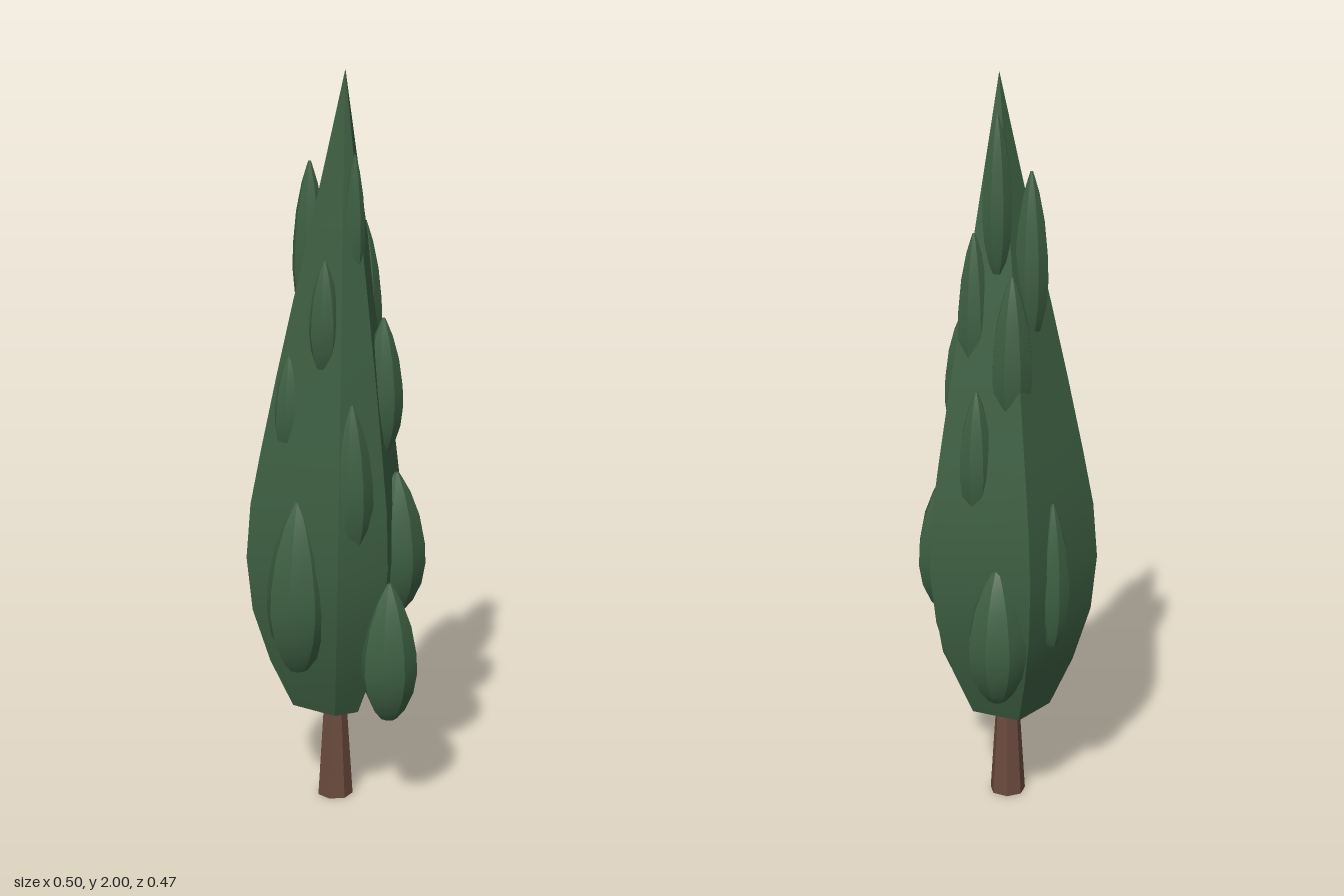
import * as THREE from 'three';

// Lofts a cross-section along y. Each side is its own strip, so the upright
// edges stay sharp while the shading runs smoothly from bottom to top.
// section: [x, z] corners by rising angle; rows: [y, scale, shiftX]
function loft(section, rows) {
  const pos = [], index = [];
  const n = section.length;
  const point = ([x, z], [y, s, dx = 0]) => pos.push(x * s + dx, y, z * s);
  for (let i = 0; i < n; i++) {
    const a = section[i], b = section[(i + 1) % n];
    const start = pos.length / 3;
    rows.forEach((row, j) => {
      point(a, row);
      point(b, row);
      if (j === 0) return;
      const k = start + 2 * j;
      index.push(k - 1, k - 2, k, k - 1, k, k + 1);
    });
    // end caps
    const c = pos.length / 3;
    const first = rows[0], last = rows[rows.length - 1];
    point([0, 0], first); point(a, first); point(b, first);
    point([0, 0], last); point(b, last); point(a, last);
    index.push(c, c + 1, c + 2, c + 3, c + 4, c + 5);
  }
  const geo = new THREE.BufferGeometry();
  geo.setAttribute('position', new THREE.Float32BufferAttribute(pos, 3));
  geo.setIndex(index);
  geo.computeVertexNormals();
  return geo;
}

const polygon = (n, turn = 0) => Array.from({ length: n }, (_, i) => {
  const a = turn + (i / n) * Math.PI * 2;
  return [Math.cos(a), Math.sin(a)];
});

export function createModel() {
  const tree = new THREE.Group();
  tree.name = 'cypressTree';

  const foliage = new THREE.MeshStandardMaterial({ color: 0x3d5f42 });
  foliage.name = 'dark green foliage';
  const bark = new THREE.MeshStandardMaterial({ color: 0x6a4a3d });
  bark.name = 'brown bark';

  const add = (name, geo, mat) => {
    const mesh = new THREE.Mesh(geo, mat);
    mesh.name = name;
    tree.add(mesh);
    return mesh;
  };

  // Trunk
  add('trunk', loft(polygon(7, 0.2), [[0, 0.049], [0.3, 0.03]]), bark).position.x = -0.02;

  // Crown: uneven five-sided spindle leaning slightly towards its tip
  const crownSection = [[0.192, 0], [0.143, 0.137], [-0.147, 0.197], [-0.238, -0.085], [0.012, -0.235]];
  const crownRows = [
    [0.265, 0.47], [0.4, 0.73], [0.55, 0.93], [0.7, 1], [0.85, 0.96], [1, 0.85],
    [1.2, 0.69], [1.4, 0.52], [1.6, 0.34], [1.8, 0.17], [2, 0.002],
  ].map(([y, s]) => [y, s, -0.02 + 0.04 * (y - 0.265) / 1.735]);
  add('crown', loft(crownSection, crownRows), foliage);

  // Tufts: slim pointed lobes half sunk in the crown, [x, z, bottom, top, radius]
  const tuftRows = [
    [0, 0.3], [0.07, 0.58], [0.2, 0.87], [0.35, 1], [0.5, 0.97],
    [0.7, 0.78], [0.87, 0.46], [0.96, 0.2], [1, 0.08],
  ];
  const tuftGeo = loft(polygon(8, 0.2), tuftRows);
  const tufts = [
    [0.18, -0.008, 0.28, 0.66, 0.077],
    [-0.005, 0.15, 0.41, 0.88, 0.086],
    [0.09, -0.125, 0.54, 0.925, 0.08],
    [0.115, 0.068, 0.735, 1.15, 0.058],
    [0.102, -0.06, 1.0, 1.36, 0.053],
    [-0.155, -0.125, 0.36, 0.74, 0.082],
    [-0.2, 0.02, 0.5, 0.9, 0.047],
    [-0.052, -0.055, 1.5, 1.91, 0.041],
    [-0.108, -0.047, 1.08, 1.5, 0.055],
    [-0.082, 0.03, 1.32, 1.76, 0.047],
    [0, -0.092, 1.18, 1.6, 0.046],
    [0.064, 0.008, 1.45, 1.79, 0.027],
    [0.03, 0.083, 1.22, 1.52, 0.042],
    [-0.068, 0.118, 0.98, 1.26, 0.042],
    [-0.07, -0.133, 0.85, 1.2, 0.047],
  ];
  for (const [x, z, bottom, top, r] of tufts) {
    const tuft = add('tuft', tuftGeo, foliage);
    tuft.position.set(x, bottom, z);
    tuft.scale.set(r, top - bottom, r);
  }
  return tree;
}
